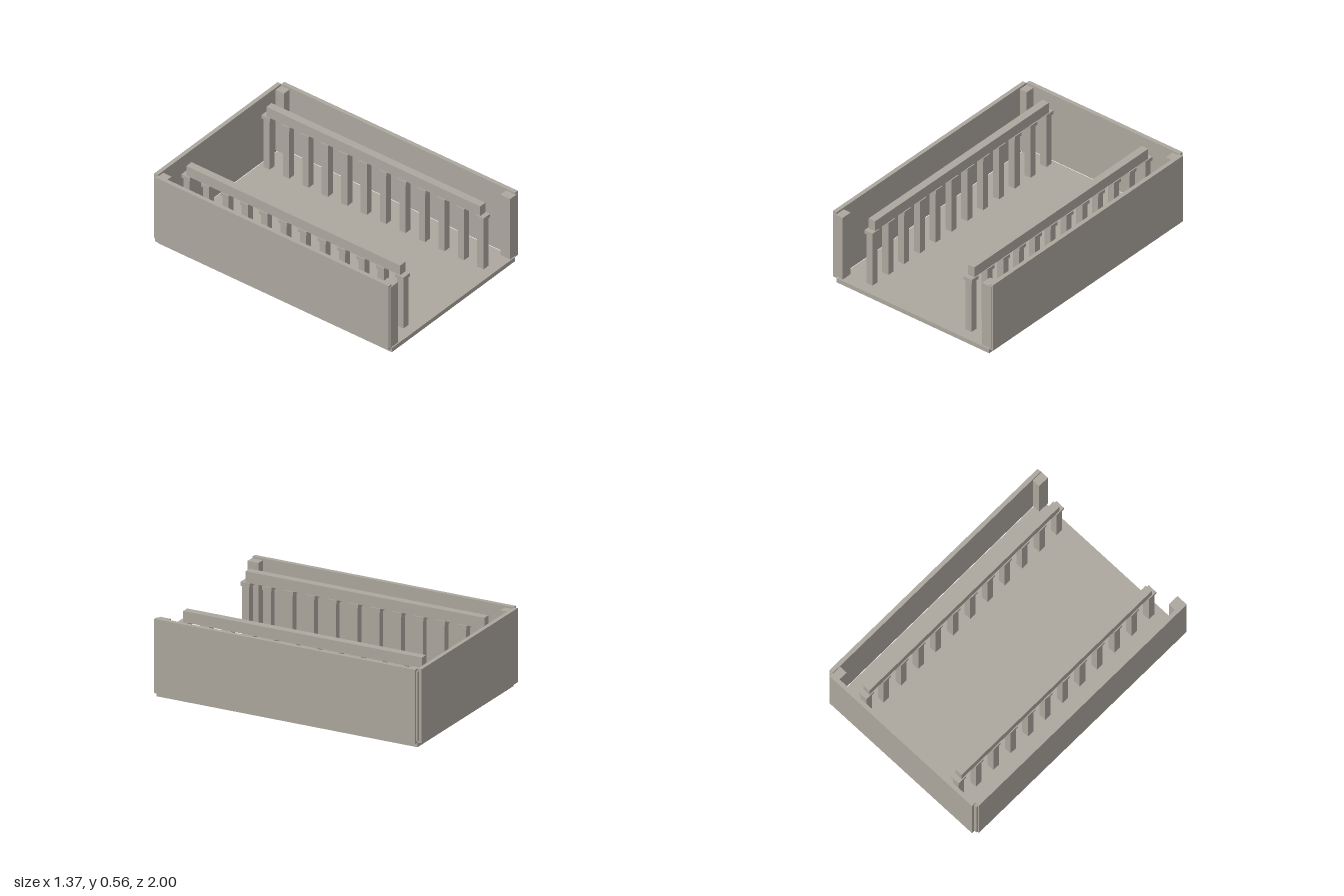
import * as THREE from 'three';

export function createModel() {
  const model = new THREE.Group();
  model.name = 'openTrayWithRailings';
  const stone = new THREE.MeshStandardMaterial({ color: 0xaca79e });
  stone.name = 'warmGrey';

  // Box given by its minimum and maximum on each axis
  const box = (name, parent, [x0, x1], [y0, y1], [z0, z1]) => {
    const mesh = new THREE.Mesh(new THREE.BoxGeometry(x1 - x0, y1 - y0, z1 - z0), stone);
    mesh.position.set((x0 + x1) / 2, (y0 + y1) / 2, (z0 + z1) / 2);
    mesh.name = name;
    parent.add(mesh);
  };
  // Range around a centre
  const around = (centre, size) => [centre - size / 2, centre + size / 2];

  // Floor slab and back wall
  box('floor', model, [-0.65, 0.65], [0, 0.033], [-0.967, 0.994]);
  box('backWall', model, [-0.653, 0.653], [0.034, 0.555], [-1, -0.97]);

  for (const side of [1, -1]) {
    const label = side > 0 ? 'left' : 'right';

    // Side wall with corner posts set into its ends
    box(label + 'Wall', model, around(side * 0.668, 0.03), [0.034, 0.555], [-0.968, 0.994]);
    box(label + 'FrontPost', model, around(side * 0.634, 0.08), [0.05, 0.54], [0.918, 1]);
    box(label + 'BackPost', model, around(side * 0.634, 0.08), [0.05, 0.54], [-0.98, -0.9]);

    // Railing: twelve balusters with caps below a long handrail
    const railing = new THREE.Group();
    railing.name = label + 'Railing';
    model.add(railing);
    const x = side * 0.423;
    box('handrail', railing, around(x, 0.055), [0.472, 0.55], [-0.89, 0.905]);
    for (let i = 0; i < 12; i++) {
      const z = -0.89 + i * 0.1632;
      box('baluster', railing, around(x, 0.052), [0.05, 0.445], around(z, 0.052));
      box('balusterCap', railing, around(x, 0.07), [0.445, 0.472], around(z, 0.07));
    }
  }
  return model;
}
